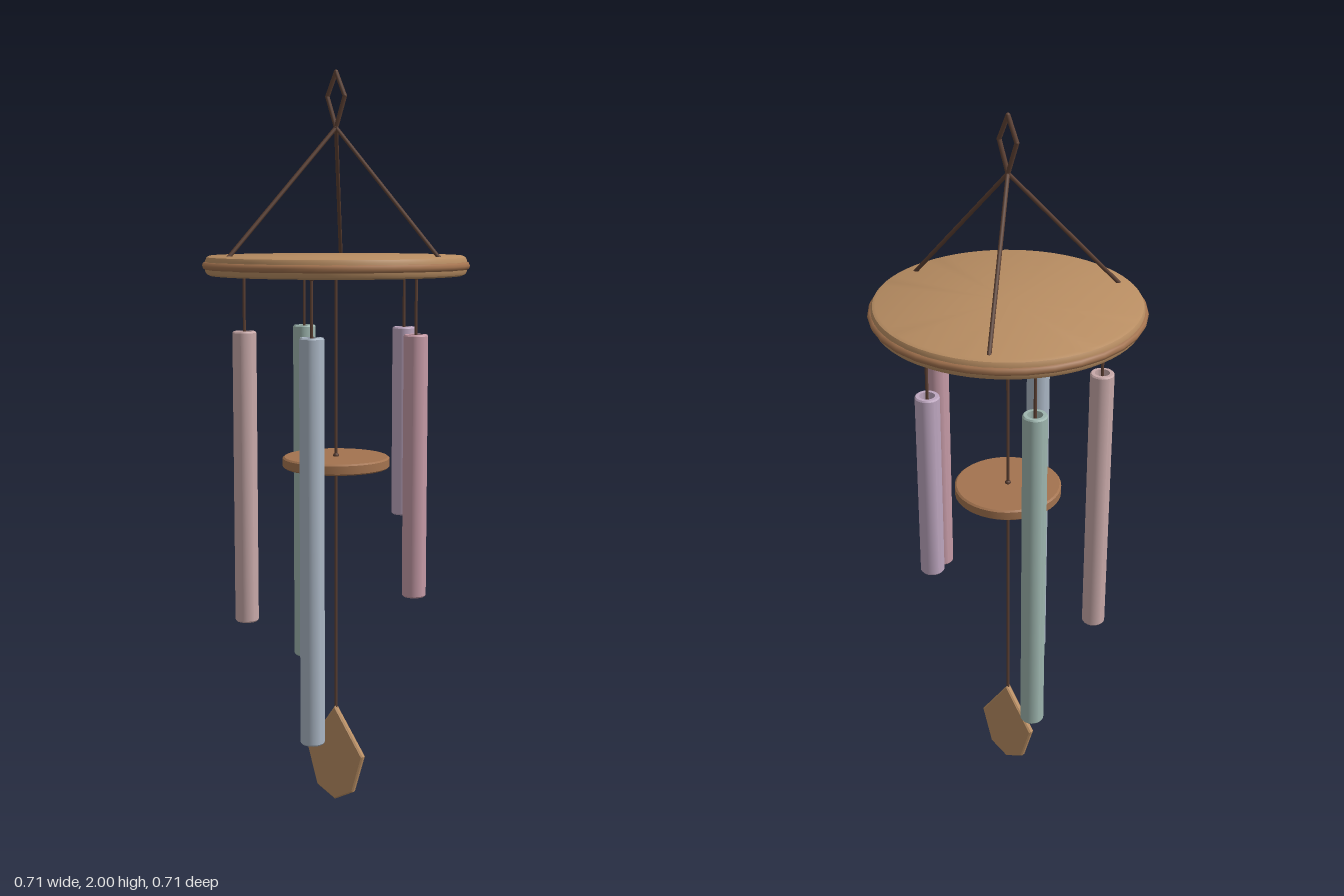
import * as THREE from 'three';
import { toCreasedNormals } from 'three/addons/utils/BufferGeometryUtils.js';

const paint = (color) => new THREE.MeshStandardMaterial({ color });
const WOOD = paint(0xb88d62);
const DARK_WOOD = paint(0xa3734f);
const CORD = paint(0x5c4033);

export function createModel() {
  const group = new THREE.Group();
  const V = (x, y, z) => new THREE.Vector3(x, y, z);

  function add(name, geometry, material) {
    const mesh = new THREE.Mesh(geometry, material);
    mesh.name = name;
    group.add(mesh);
    return mesh;
  }

  // Straight cord between two points
  function cord(name, a, b, radius) {
    const mesh = add(name, new THREE.CylinderGeometry(radius, radius, a.distanceTo(b), 8), CORD);
    mesh.position.copy(a).add(b).multiplyScalar(0.5);
    mesh.quaternion.setFromUnitVectors(V(0, 1, 0), b.clone().sub(a).normalize());
  }

  function knot(name, p, radius) {
    add(name, new THREE.SphereGeometry(radius, 10, 8), CORD).position.copy(p);
  }

  function lathe(points, segments) {
    const profile = points.map(([r, y]) => new THREE.Vector2(r, y));
    return toCreasedNormals(new THREE.LatheGeometry(profile, segments), 0.6);
  }

  // Top disc with softened edges and a rim band
  add('topDisc', lathe([
    [0, 1.468], [0.335, 1.468], [0.343, 1.472], [0.347, 1.48],
    [0.347, 1.508], [0.343, 1.516], [0.335, 1.52], [0, 1.52],
  ], 64), WOOD);
  const rim = add('rimBand', new THREE.TorusGeometry(0.345, 0.011, 8, 32), DARK_WOOD);
  rim.rotation.x = Math.PI / 2;
  rim.position.y = 1.494;

  // Three suspension cords meeting under the hanging loop
  const apex = V(0, 1.852, 0);
  for (let i = 0; i < 3; i++) {
    const a = (i * Math.PI * 2) / 3;
    const foot = V(0.31 * Math.cos(a), 1.518, 0.31 * Math.sin(a));
    cord('suspensionCord', foot, apex, 0.0055);
    knot('suspensionKnot', foot, 0.006);
  }
  knot('apexKnot', apex, 0.007);

  // Diamond-shaped hanging loop
  const loop = [apex, V(0.027, 1.932, 0), V(0, 1.994, 0), V(-0.027, 1.932, 0)];
  loop.forEach((p, i) => {
    cord('hangingLoop', p, loop[(i + 1) % 4], 0.006);
    knot('loopCorner', p, 0.006);
  });

  // Five hollow chimes in a ring: bottom height and colour
  const TOP = 1.32;
  const chimes = [
    [0.625, 0xc59aa6], [0.255, 0xaab6c4], [0.525, 0xc8a9a9],
    [0.355, 0x9db5ae], [0.79, 0xbda6bf],
  ];
  chimes.forEach(([bottom, color], i) => {
    const a = (i * Math.PI * 2) / 5;
    const x = 0.245 * Math.cos(a), z = 0.245 * Math.sin(a);
    const tube = lathe([
      [0.02, bottom], [0.029, bottom], [0.032, bottom + 0.004], [0.032, TOP - 0.004],
      [0.029, TOP], [0.02, TOP], [0.02, bottom],
    ], 20);
    add('chimeTube', tube, paint(color)).position.set(x, 0, z);
    cord('chimeCord', V(x, TOP - 0.03, z), V(x, 1.47, z), 0.004);
    knot('chimeKnot', V(x, 1.467, z), 0.007);
    // Cross pin holding the tube on its cord
    cord('chimePin', V(x - 0.022, TOP - 0.03, z), V(x + 0.022, TOP - 0.03, z), 0.004);
  });

  // Central cord with striker
  cord('centreCord', V(0, 0.265, 0), V(0, 1.47, 0), 0.0045);
  add('striker', lathe([
    [0, 0.95], [0.14, 0.95], [0.145, 0.954], [0.145, 0.976], [0.14, 0.98], [0, 0.98],
  ], 40), DARK_WOOD);
  for (const y of [0.948, 0.982, 1.467]) knot('centreKnot', V(0, y, 0), 0.008);

  // Wind sail: thin faceted leaf with a bevelled edge
  const outline = [[0, 0.271], [-0.087, 0.143], [-0.056, 0.038], [0, 0.008], [0.056, 0.038], [0.087, 0.143]];
  const leaf = new THREE.Shape(outline.map(([x, y]) => new THREE.Vector2(x, y)));
  const sail = new THREE.ExtrudeGeometry(leaf, {
    depth: 0.01, bevelEnabled: true, bevelThickness: 0.004, bevelSize: 0.004, bevelSegments: 1,
  });
  add('windSail', sail.translate(0, 0, -0.005), WOOD);

  return group;
}
